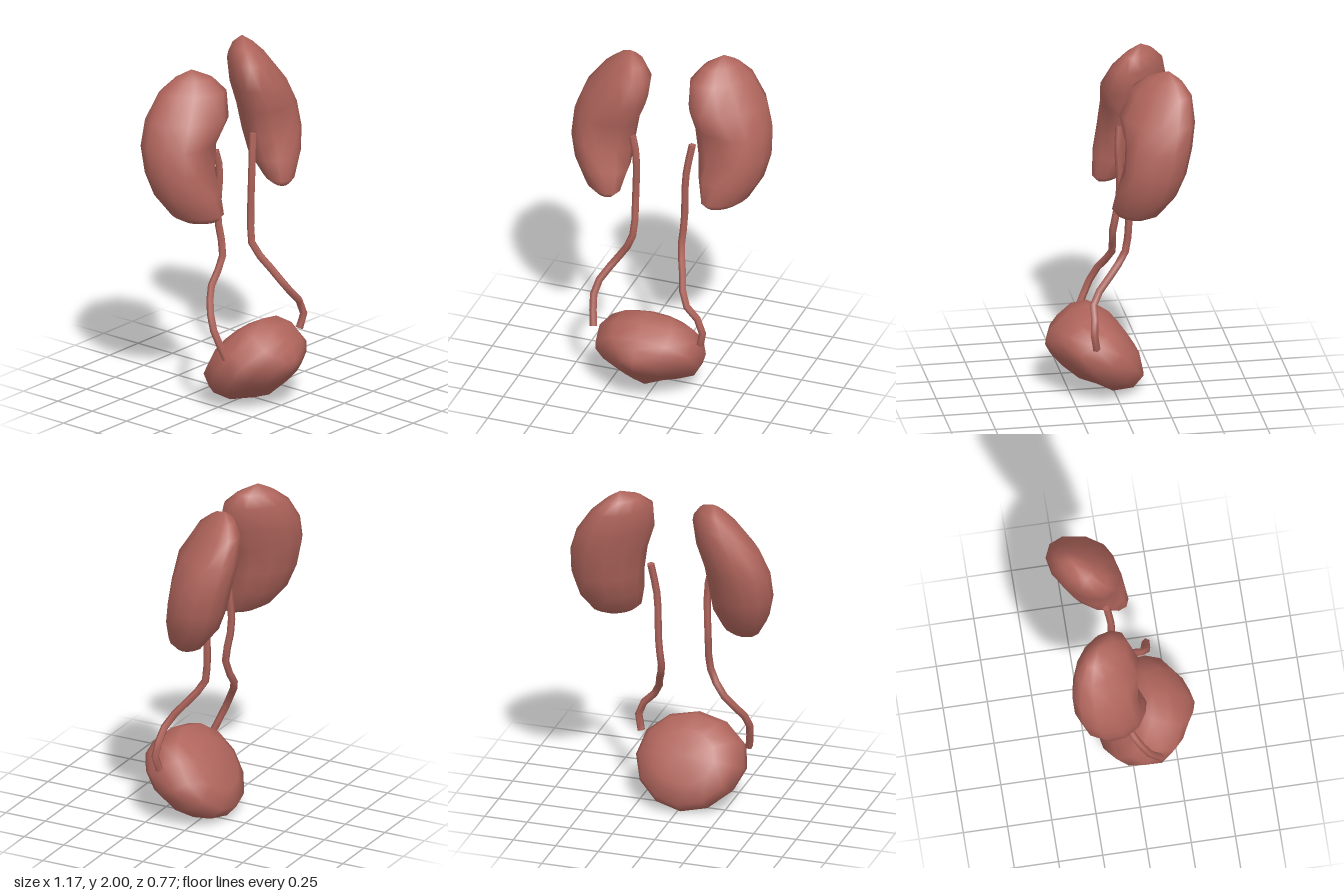
import * as THREE from 'three';

const material = new THREE.MeshStandardMaterial({ color: 0xb0655c, side: THREE.DoubleSide });
const SIDES = 12;

// Closed smooth skin over rings listed from top pole to bottom pole; flip reverses the winding
function loft(name, top, rings, bottom, flip) {
  const positions = [...top.toArray(), ...rings.flat().flatMap(p => p.toArray()), ...bottom.toArray()];
  const index = [];
  const tri = (a, b, c) => index.push(...(flip ? [a, c, b] : [a, b, c]));
  const id = (r, i) => 1 + r * SIDES + (i % SIDES);
  const last = 1 + rings.length * SIDES;
  for (let i = 0; i < SIDES; i++) {
    tri(0, id(0, i), id(0, i + 1));
    for (let r = 0; r < rings.length - 1; r++) {
      tri(id(r, i), id(r + 1, i), id(r + 1, i + 1));
      tri(id(r, i), id(r + 1, i + 1), id(r, i + 1));
    }
    tri(id(rings.length - 1, i), last, id(rings.length - 1, i + 1));
  }
  const geometry = new THREE.BufferGeometry();
  geometry.setAttribute('position', new THREE.Float32BufferAttribute(positions, 3));
  geometry.setIndex(index);
  geometry.computeVertexNormals();
  const mesh = new THREE.Mesh(geometry, material);
  mesh.name = name;
  return mesh;
}

const ringAngles = Array.from({ length: SIDES }, (_, i) => (i / SIDES) * Math.PI * 2);

// Bean-shaped kidney turned 45 degrees, with its notch facing inward and forward;
// lean tips the upper end inward and forward
function kidney(name, side, dy, dz, lean) {
  // height, centre x, centre z, half breadth, half thickness, notch depth
  const sections = [
    [1.95, 0.27, -0.25, 0.11, 0.065, 0],
    [1.88, 0.28, -0.23, 0.19, 0.115, 0],
    [1.74, 0.33, -0.195, 0.235, 0.16, 0],
    [1.6, 0.375, -0.17, 0.232, 0.17, 0.07],
    [1.45, 0.39, -0.145, 0.218, 0.168, 0.08],
    [1.32, 0.38, -0.115, 0.195, 0.147, 0.03],
    [1.2, 0.36, -0.065, 0.145, 0.09, 0],
    [1.165, 0.35, -0.045, 0.09, 0.05, 0],
  ];
  const place = (x, y, z) => {
    const tip = lean * Math.max(0, y - 1.65) / 0.35;
    return new THREE.Vector3(side * (x - 0.6 * tip), y + dy, z + dz + tip);
  };
  const rings = sections.map(([y, cx, cz, a, b, notch]) => ringAngles.map(t => {
    const u = a * Math.cos(t) + notch * Math.max(0, -Math.cos(t + Math.PI / 6)) ** 4;
    const v = b * Math.sin(t);
    return place(cx + (u + v) * Math.SQRT1_2, y, cz + (v - u) * Math.SQRT1_2);
  }));
  return loft(name, place(0.28, 2, -0.27), rings, place(0.35, 1.16, -0.04), side > 0);
}

// Bladder: rings stacked along an axis that leans up and back
function bladder() {
  const place = (x, t, n) => new THREE.Vector3(x - 0.025, 0.6 * n + 0.8 * t, 0.6 * t - 0.8 * n);
  // height on axis, centre offset, half height, half width, upward shift of the widest point, fold
  const sections = [
    [0.235, 0.215, 0.16, 0.18, 0, 0],
    [0.185, 0.215, 0.265, 0.275, 0.02, 0],
    [0.1, 0.225, 0.29, 0.318, 0.06, 0],
    [0, 0.25, 0.255, 0.305, 0.08, 0],
    [-0.06, 0.28, 0.22, 0.235, 0.05, 0.2],
    [-0.115, 0.31, 0.16, 0.13, 0, 0.2],
    [-0.14, 0.36, 0.085, 0.055, 0, 0],
  ];
  const rings = sections.map(([n, tc, rt, rx, shift, fold]) => ringAngles.map(a => {
    // shallow folds on the two lower flanks
    const k = 1 - fold * (Math.sin(a) < -0.1 ? Math.abs(Math.sin(2 * a)) : 0);
    return place(rx * k * Math.cos(a) * (1 + shift * Math.sin(a)), tc + rt * k * Math.sin(a), n);
  }));
  return loft('bladder', place(0, 0.22, 0.25), rings, place(0, 0.38, -0.15), false);
}

// Ureter: thin five-sided tube with closed ends
function ureter(name, points) {
  const path = points.map(p => new THREE.Vector3(...p));
  const curve = new THREE.CatmullRomCurve3(path, false, 'centripetal');
  const group = new THREE.Group();
  group.name = name;
  const tube = new THREE.Mesh(new THREE.TubeGeometry(curve, 14, 0.022, 5, false), material);
  tube.name = name + 'Tube';
  group.add(tube);
  for (const end of [0, 1]) {
    const cap = new THREE.Mesh(new THREE.CircleGeometry(0.02, 5), material);
    cap.name = name + 'End';
    cap.position.copy(curve.getPoint(end));
    cap.quaternion.setFromUnitVectors(
      new THREE.Vector3(0, 0, 1), curve.getTangent(end).multiplyScalar(end ? 1 : -1));
    group.add(cap);
  }
  return group;
}

export function createModel() {
  const model = new THREE.Group();
  model.name = 'urinarySystem';
  model.add(
    kidney('leftKidney', 1, 0, 0, 0),
    kidney('rightKidney', -1, -0.04, 0.01, 0.06),
    bladder(),
    ureter('leftUreter', [
      [0.16, 1.49, -0.09], [0.13, 1.3, -0.07], [0.12, 1.0, -0.07], [0.11, 0.85, -0.05],
      [0.15, 0.73, 0.04], [0.2, 0.6, 0.14], [0.29, 0.5, 0.15], [0.31, 0.42, 0.155], [0.29, 0.35, 0.14],
    ]),
    ureter('rightUreter', [
      [-0.19, 1.49, -0.07], [-0.165, 1.38, -0.06], [-0.17, 1.1, -0.07], [-0.175, 0.86, -0.03],
      [-0.26, 0.71, -0.04], [-0.35, 0.58, 0.03], [-0.37, 0.5, 0.07], [-0.345, 0.34, 0.14],
    ]),
  );
  return model;
}
